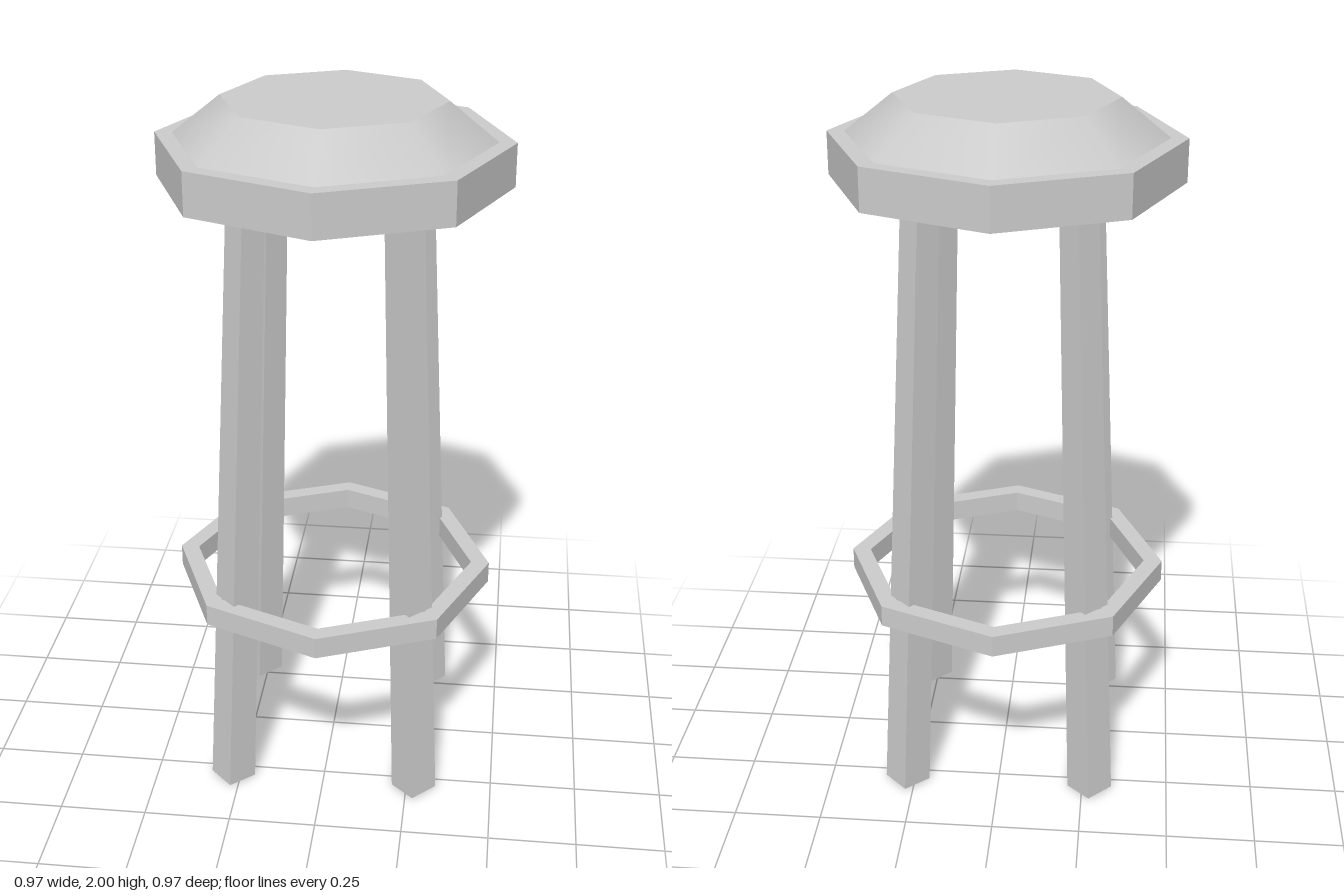
import * as THREE from 'three';

const flat = new THREE.MeshStandardMaterial({ color: 0xcccccc, flatShading: true });
const smooth = new THREE.MeshStandardMaterial({ color: 0xcccccc });

function part(parent, name, geometry, material = flat) {
  const mesh = new THREE.Mesh(geometry, material);
  mesh.name = name;
  parent.add(mesh);
  return mesh;
}

// Square bar between two centre points, its faces turned to the diagonals
function bar(parent, name, from, to, rFrom, rTo) {
  const axis = to.clone().sub(from);
  const mesh = part(parent, name, new THREE.CylinderGeometry(rTo, rFrom, axis.length(), 4));
  mesh.position.copy(from).add(to).multiplyScalar(0.5);
  mesh.quaternion.setFromUnitVectors(new THREE.Vector3(0, 1, 0), axis.normalize());
}

export function createModel() {
  const stool = new THREE.Group();
  stool.name = 'barStool';

  // Seat: octagonal slab with a bevelled cushion on top
  part(stool, 'seatSlab', new THREE.CylinderGeometry(0.485, 0.485, 0.12, 8)).position.y = 1.834;
  part(stool, 'seatCushion', new THREE.CylinderGeometry(0.305, 0.437, 0.106, 8), smooth).position.y = 1.947;

  // Four splayed, tapering legs, each with a thin peg into the seat
  for (const sx of [-1, 1]) {
    for (const sz of [-1, 1]) {
      const leg = new THREE.Group();
      leg.name = (sz > 0 ? 'front' : 'back') + (sx > 0 ? 'Left' : 'Right') + 'Leg';
      const foot = new THREE.Vector3(sx * 0.272, 0.003, sz * 0.289);
      const head = new THREE.Vector3(sx * 0.207, 1.743, sz * 0.219);
      bar(leg, 'legShaft', foot, head, 0.065, 0.052);
      const pegTop = head.clone().add(head.clone().sub(foot).multiplyScalar(0.025));
      bar(leg, 'legPeg', head, pegTop, 0.03, 0.03);
      stool.add(leg);
    }
  }

  // Octagonal foot ring with a rectangular section
  const section = [[0.463, 0.553], [0.463, 0.616], [0.41, 0.616], [0.41, 0.553], [0.463, 0.553]];
  part(stool, 'footRing', new THREE.LatheGeometry(section.map(([r, y]) => new THREE.Vector2(r, y)), 8));

  return stool;
}
